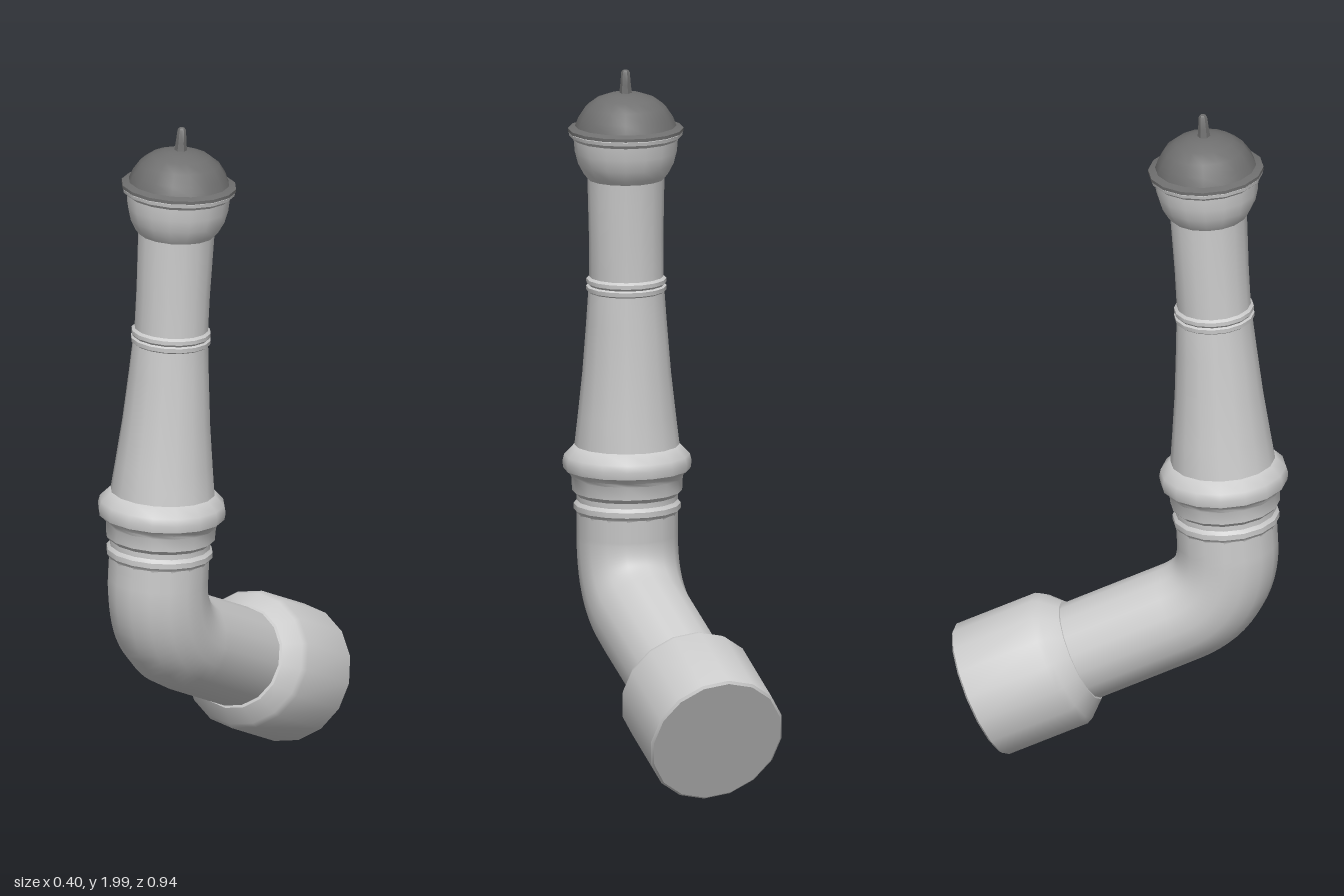
import * as THREE from 'three';
import { toCreasedNormals } from 'three/addons/utils/BufferGeometryUtils.js';

const SIDES = 16;
const grey = new THREE.MeshStandardMaterial({ color: 0xcccccc, side: THREE.DoubleSide });
const dark = new THREE.MeshStandardMaterial({ color: 0x707070, side: THREE.DoubleSide });

// Turned part: profile is a list of [radius, height], from bottom to top
function turned(name, profile, material = grey, sides = SIDES) {
  const points = profile.map(([r, h]) => new THREE.Vector2(r, h));
  const geometry = toCreasedNormals(new THREE.LatheGeometry(points, sides), 0.65);
  const mesh = new THREE.Mesh(geometry, material);
  mesh.name = name;
  return mesh;
}

// Group whose local y axis runs from one point towards another
function alongAxis(name, from, to) {
  const group = new THREE.Group();
  group.name = name;
  group.position.copy(from);
  const direction = to.clone().sub(from).normalize();
  group.quaternion.setFromUnitVectors(new THREE.Vector3(0, 1, 0), direction);
  return group;
}

export function createModel() {
  const model = new THREE.Group();
  model.name = 'chimneyPipe';

  const socketEnd = new THREE.Vector3(0, 0.186, -0.385);
  const bendStart = new THREE.Vector3(-0.012, 0.452, 0.175);
  const bendCorner = new THREE.Vector3(-0.017, 0.515, 0.305);
  const stackFoot = new THREE.Vector3(-0.016, 0.66, 0.307);
  const stackTop = new THREE.Vector3(0.015, 1.83, 0.244);

  // Wide socket at the slanted lower end
  const socket = alongAxis('socket', socketEnd, bendStart);
  socket.add(turned('socketBody', [
    [0, 0], [0.19, 0], [0.197, 0.006], [0.197, 0.25], [0.188, 0.268], [0.148, 0.312], [0.13, 0.315],
  ]));
  model.add(socket);

  // Bent pipe from the socket up to the stack
  const path = new THREE.CurvePath();
  path.add(new THREE.LineCurve3(new THREE.Vector3(-0.008, 0.305, -0.135), bendStart));
  path.add(new THREE.QuadraticBezierCurve3(bendStart, bendCorner, stackFoot));
  path.add(new THREE.LineCurve3(stackFoot, stackFoot.clone().lerp(stackTop, 0.08)));
  const elbow = new THREE.Mesh(new THREE.TubeGeometry(path, 36, 0.142, SIDES), grey);
  elbow.name = 'elbowPipe';
  model.add(elbow);

  // Slightly leaning stack; heights are measured from its foot
  const stack = alongAxis('stack', stackFoot, stackTop);
  stack.add(turned('lowerCollar', [
    [0.14, 0.06], [0.142, 0.08], [0.15, 0.09], [0.15, 0.105], [0.142, 0.115],
    [0.142, 0.13], [0.154, 0.142], [0.156, 0.18], [0.16, 0.19], [0.178, 0.205],
    [0.181, 0.225], [0.176, 0.245], [0.15, 0.272], [0.14, 0.275],
  ]));
  stack.add(turned('taperedPipe', [
    [0.148, 0.265], [0.137, 0.36], [0.124, 0.48], [0.113, 0.62], [0.106, 0.72],
  ]));
  stack.add(turned('middleRing', [
    [0.104, 0.708], [0.112, 0.714], [0.113, 0.726], [0.107, 0.73],
    [0.112, 0.736], [0.112, 0.747], [0.103, 0.754],
  ]));
  stack.add(turned('upperPipe', [[0.104, 0.72], [0.104, 0.86], [0.108, 1.04]]));
  stack.add(turned('cup', [
    [0.106, 1.03], [0.118, 1.045], [0.134, 1.075], [0.143, 1.11],
    [0.146, 1.145], [0.158, 1.155], [0.16, 1.165], [0.14, 1.168],
  ]));

  // Domed lid with a small spike
  stack.add(turned('lid', [
    [0.12, 1.166], [0.162, 1.167], [0.162, 1.176], [0.142, 1.183], [0.132, 1.208],
    [0.112, 1.238], [0.082, 1.26], [0.045, 1.273], [0, 1.278],
  ], dark));
  stack.add(turned('lidSpike', [
    [0.019, 1.265], [0.015, 1.3], [0.012, 1.335], [0.008, 1.341], [0, 1.342],
  ], dark, 6));
  model.add(stack);

  return model;
}
